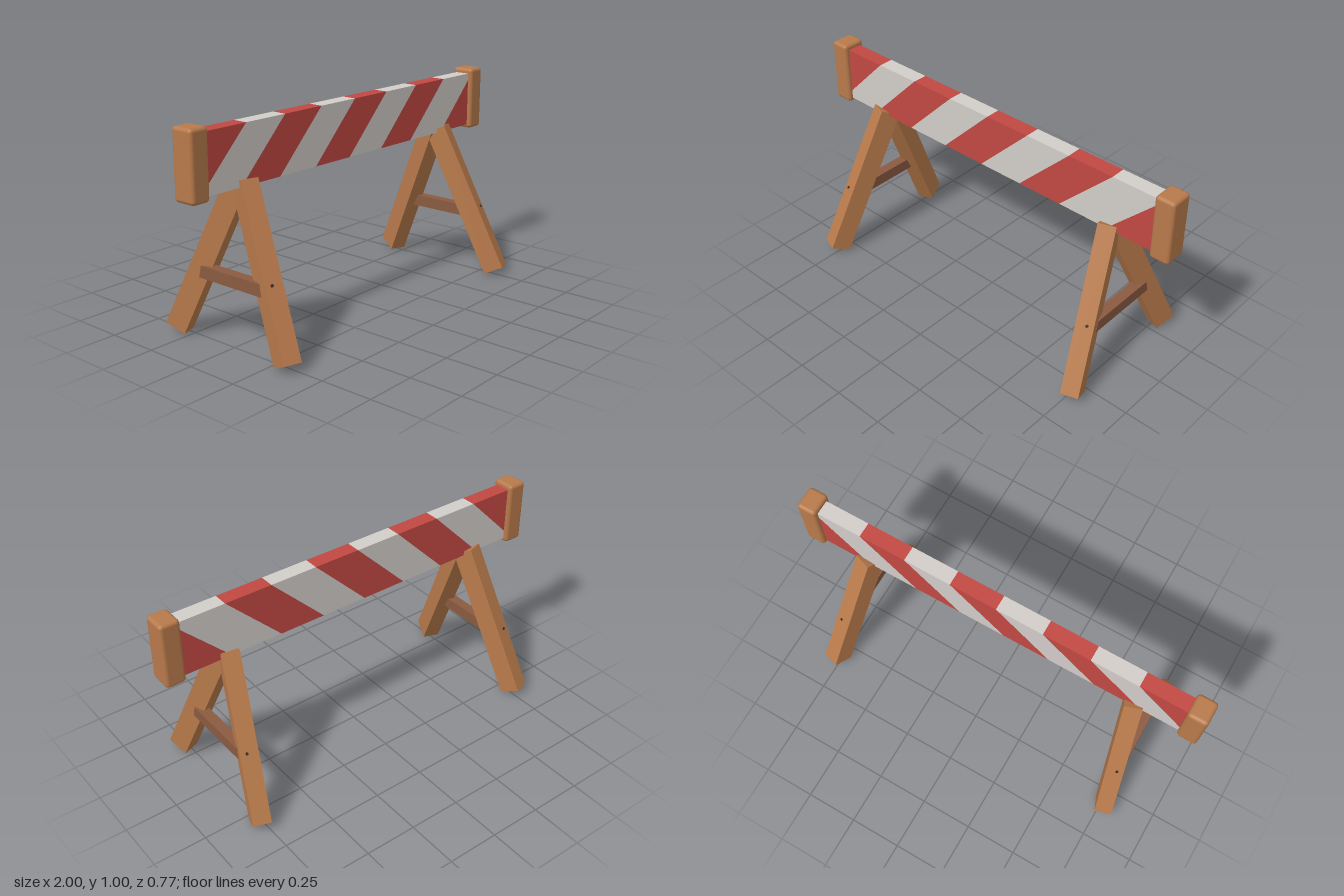
import * as THREE from 'three';
import { RoundedBoxGeometry } from 'three/addons/geometries/RoundedBoxGeometry.js';

const mat = (name, color) => {
  const m = new THREE.MeshStandardMaterial({ color });
  m.name = name;
  return m;
};

export function createModel() {
  const wood = mat('wood', 0xb87a4b);
  const darkWood = mat('dark wood', 0x8a5a40);
  const red = mat('red paint', 0xc24842);
  const white = mat('white paint', 0xd2cdc9);
  const dark = mat('screw', 0x3e2a1e);

  const model = new THREE.Group();
  model.name = 'barrier';
  const add = (parent, name, geometry, material) => {
    const mesh = new THREE.Mesh(geometry, material);
    mesh.name = name;
    parent.add(mesh);
    return mesh;
  };

  // Plank: slanted slices in alternating colours, cut at 45 degrees.
  const plank = new THREE.Group();
  plank.name = 'stripedPlank';
  model.add(plank);
  const X = 0.907, Y0 = 0.712, Y1 = 0.978, H = Y1 - Y0, depth = 0.072;
  const low = (c) => (c - H < -X ? [-X, Y1 - (c + X)] : [c - H, Y0]);
  const high = (c) => (c > X ? [X, Y1 - (c - X)] : [c, Y1]);
  const cuts = [-X, -0.682, -0.453, -0.224, 0.003, 0.231, 0.46, 0.687, 0.94, X + H];
  for (let i = 0; i < cuts.length - 1; i++) {
    const a = cuts[i], b = cuts[i + 1];
    const pts = [low(a)];
    if (a - H < -X && b - H > -X) pts.push([-X, Y0]);
    pts.push(low(b));
    if (b < X + H) pts.push(high(b));
    if (a < X && b > X) pts.push([X, Y1]);
    if (a > -X) pts.push(high(a));
    const shape = new THREE.Shape(pts.map(([x, y]) => new THREE.Vector2(x, y)));
    const g = new THREE.ExtrudeGeometry(shape, { depth, bevelEnabled: false });
    g.translate(0, 0, -depth / 2);
    add(plank, 'stripe', g, i % 2 ? white : red);
  }

  // Cross bar with slanted ends, profile in z and y.
  const barShape = new THREE.Shape([
    [-0.188, 0.282], [0.188, 0.282], [0.174, 0.338], [-0.174, 0.338],
  ].map(([z, y]) => new THREE.Vector2(z, y)));

  for (const s of [-1, 1]) {
    const side = s > 0 ? 'left' : 'right';

    // Rounded post closing the end of the plank
    add(model, side + 'EndPost', new RoundedBoxGeometry(0.095, 0.31, 0.114, 2, 0.017), wood)
      .position.set(s * 0.9525, 0.848, 0);

    // Two splayed legs, each turned about its own axis
    for (const f of [-1, 1]) {
      const foot = new THREE.Vector3(s * 0.768, 0.024, f * 0.33);
      const top = new THREE.Vector3(s * 0.678, 0.727, f * 0.014);
      const up = top.clone().sub(foot);
      const length = up.length();
      up.normalize();
      const across = new THREE.Vector3(f, 0, -s * 0.36);
      across.addScaledVector(up, -across.dot(up)).normalize();
      const out = across.clone().cross(up);

      const leg = new THREE.Group();
      leg.name = side + (f > 0 ? 'FrontLeg' : 'BackLeg');
      leg.quaternion.setFromRotationMatrix(new THREE.Matrix4().makeBasis(across, up, out));
      leg.position.copy(foot).add(top).multiplyScalar(0.5);
      model.add(leg);
      add(leg, 'legBeam', new THREE.BoxGeometry(0.083, length, 0.1), wood);

      // Small screw head on the outer face
      const screw = add(leg, 'screw', new THREE.CylinderGeometry(0.007, 0.007, 0.006, 8), dark);
      screw.rotation.x = Math.PI / 2;
      screw.position.set(f * s * 0.01, -0.06, 0.051);
    }

    const bar = new THREE.ExtrudeGeometry(barShape, { depth: 0.05, bevelEnabled: false });
    bar.rotateY(Math.PI / 2);
    bar.translate(s * 0.745 - 0.025, 0, 0);
    add(model, side + 'CrossBar', bar, darkWood);
  }
  return model;
}
